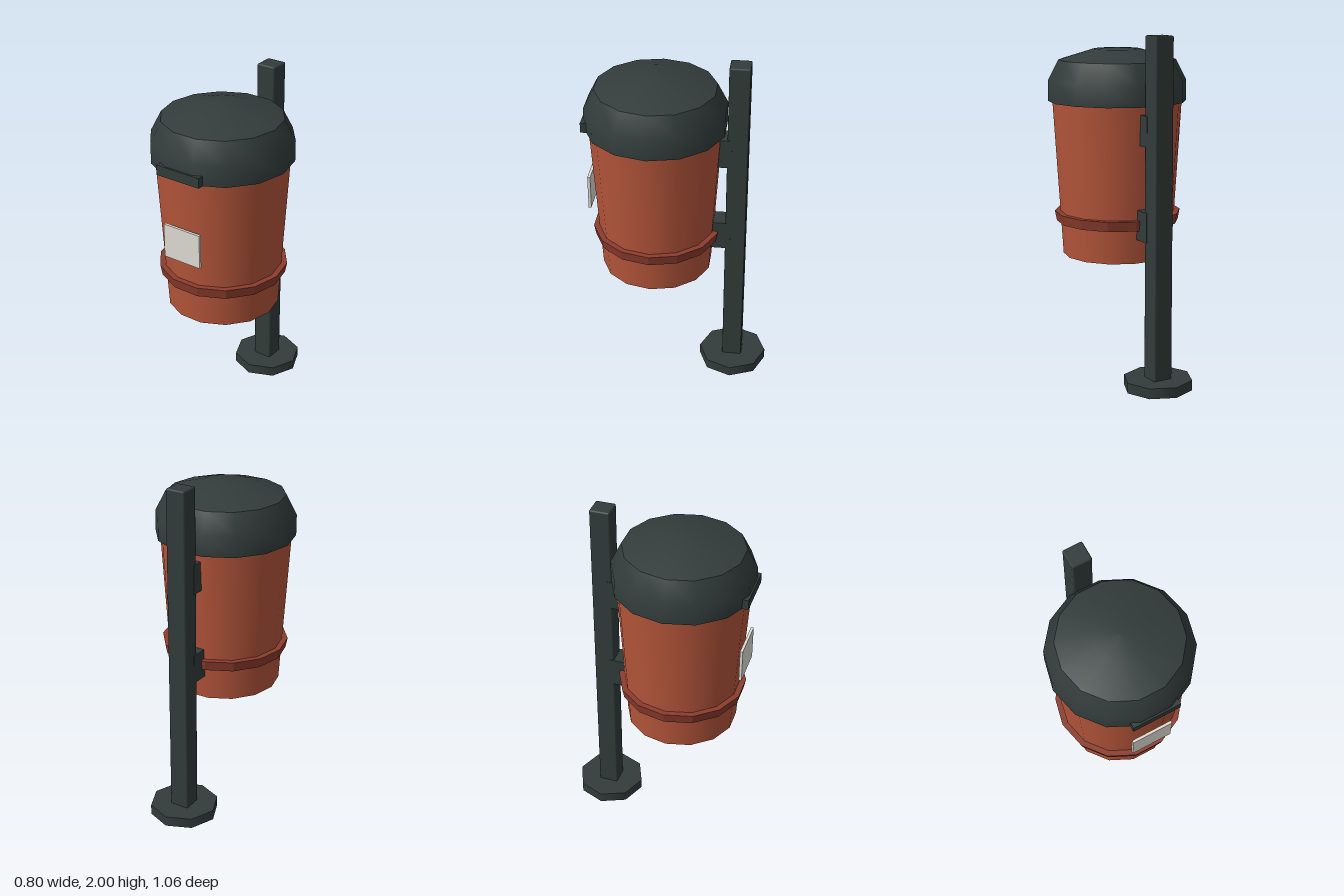
import * as THREE from 'three';
import { RoundedBoxGeometry } from 'three/addons/geometries/RoundedBoxGeometry.js';

const SIDES = 14;
const BIN_Z = 0.13;
const POST_Z = -0.33;

function material(name, color, flatShading = false) {
  const m = new THREE.MeshStandardMaterial({ color, flatShading });
  m.name = name;
  return m;
}

export function createModel() {
  const model = new THREE.Group();
  model.name = 'litterBin';
  const darkMetal = material('darkMetal', 0x323c3a);
  const orange = material('orangePlastic', 0xb4553a);
  const bandRed = material('bandRed', 0x8c3c2d, true);
  const labelGrey = material('labelGrey', 0xdedbd3);

  const add = (name, geometry, mat, x, y, z, parent = model) => {
    const mesh = new THREE.Mesh(geometry, mat);
    mesh.name = name;
    mesh.position.set(x, y, z);
    parent.add(mesh);
    return mesh;
  };
  // Turned part given as [radius, height] pairs, with a corner facing +x
  const turned = (points) => new THREE.LatheGeometry(
    points.map(([r, y]) => new THREE.Vector2(r, y)), SIDES).rotateY(Math.PI / 2);
  const tapered = (top, bottom, y0, y1) => new THREE.CylinderGeometry(top, bottom, y1 - y0, SIDES)
    .rotateY(Math.PI / 2).translate(0, (y0 + y1) / 2, 0);

  // Post standing on an eight-sided foot
  add('foot', new THREE.CylinderGeometry(0.2, 0.2, 0.06, 8), darkMetal, 0, 0.03, POST_Z);
  add('post', new RoundedBoxGeometry(0.116, 1.95, 0.116, 1, 0.009), darkMetal, 0, 1.025, POST_Z);

  // Brackets between post and bin
  for (const [name, y] of [['lowerBracket', 0.933], ['upperBracket', 1.475]]) {
    add(name, new THREE.BoxGeometry(0.12, 0.172, 0.12), darkMetal, 0, y, -0.24);
  }

  // Tapered bin with its raised band
  const bin = new THREE.Group();
  bin.name = 'bin';
  bin.position.z = BIN_Z;
  model.add(bin);
  add('body', tapered(0.376, 0.32, 0.705, 1.61), orange, 0, 0, 0, bin);
  add('band', tapered(0.369, 0.358, 0.902, 0.96), bandRed, 0, 0, 0, bin);

  // Lid: underside, shoulder and shallow dome
  const lid = new THREE.Group();
  lid.name = 'lid';
  bin.add(lid);
  add('lidUnderside', turned([[0, 1.605], [0.4, 1.605]]), darkMetal, 0, 0, 0, lid);
  add('lidShoulder', turned([[0.4, 1.605], [0.4, 1.725], [0.34, 1.842]]), darkMetal, 0, 0, 0, lid);
  add('lidDome', turned([[0.34, 1.842], [0.14, 1.903], [0, 1.911]]), darkMetal, 0, 0, 0, lid);

  // Front lip and label
  add('lidLip', new THREE.BoxGeometry(0.28, 0.058, 0.06), darkMetal, 0, 1.633, 0.5);
  add('label', new THREE.BoxGeometry(0.24, 0.2, 0.016), labelGrey, 0, 1.205, 0.5);

  return model;
}
